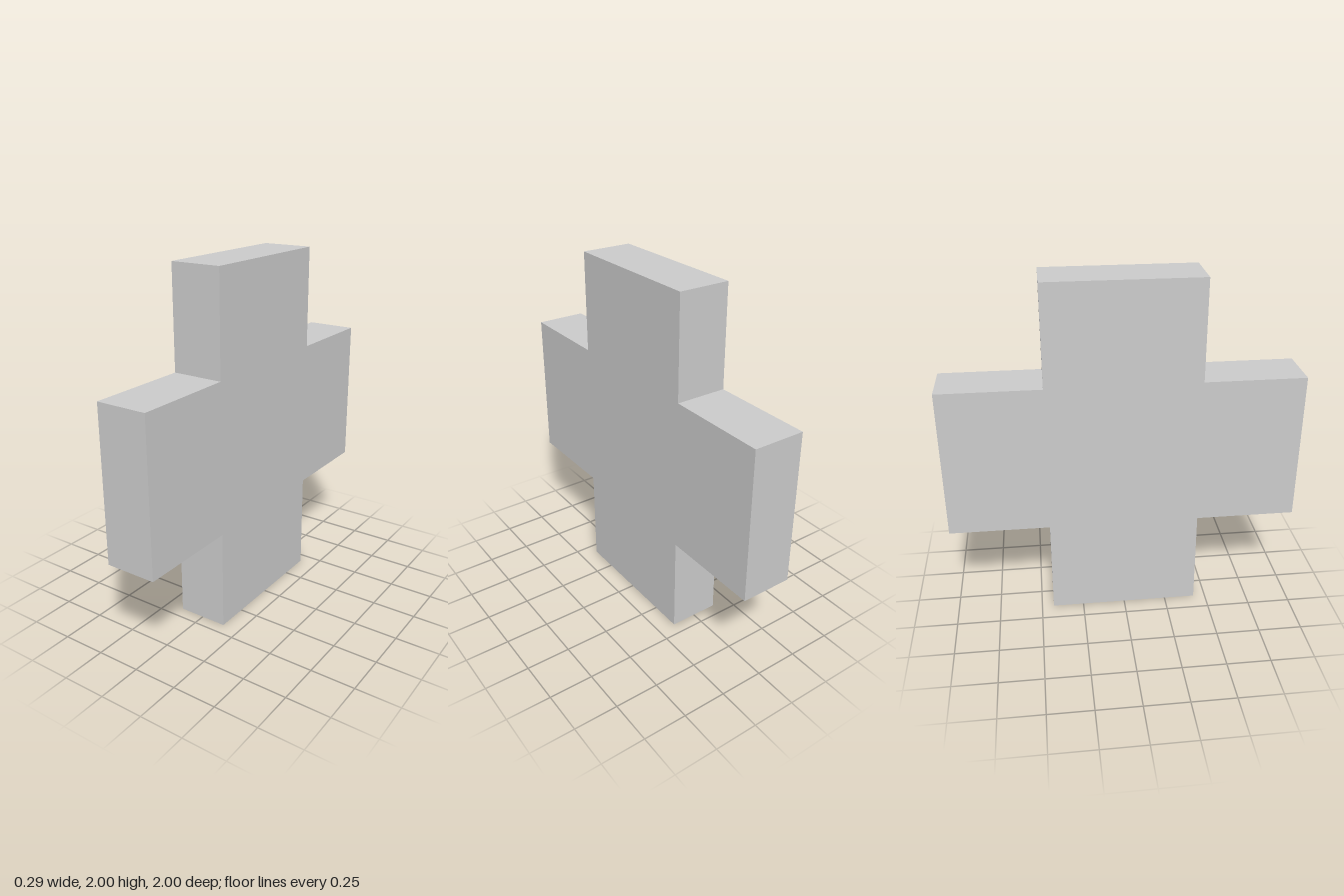
import * as THREE from 'three';

const ARM = 0.43;       // half width of each arm
const REACH = 1;        // centre to arm tip
const THICKNESS = 0.29;

export function createModel() {
  const group = new THREE.Group();
  group.name = 'plusSign';

  // Cross outline: one corner pattern turned through four quarters
  const points = [];
  for (let i = 0; i < 4; i++) {
    for (const [x, y] of [[REACH, -ARM], [REACH, ARM], [ARM, ARM]]) {
      points.push(new THREE.Vector2(x, y).rotateAround(new THREE.Vector2(), i * Math.PI / 2));
    }
  }

  // Flat slab, facing sideways and standing on its lower arm
  const geometry = new THREE.ExtrudeGeometry(new THREE.Shape(points), {
    depth: THICKNESS,
    bevelEnabled: false,
  });
  geometry.translate(0, 0, -THICKNESS / 2);
  geometry.rotateY(Math.PI / 2);
  geometry.translate(0, REACH, 0);

  const cross = new THREE.Mesh(
    geometry,
    new THREE.MeshStandardMaterial({ color: 0xcccccc, flatShading: true }),
  );
  cross.name = 'crossSlab';
  group.add(cross);
  return group;
}
